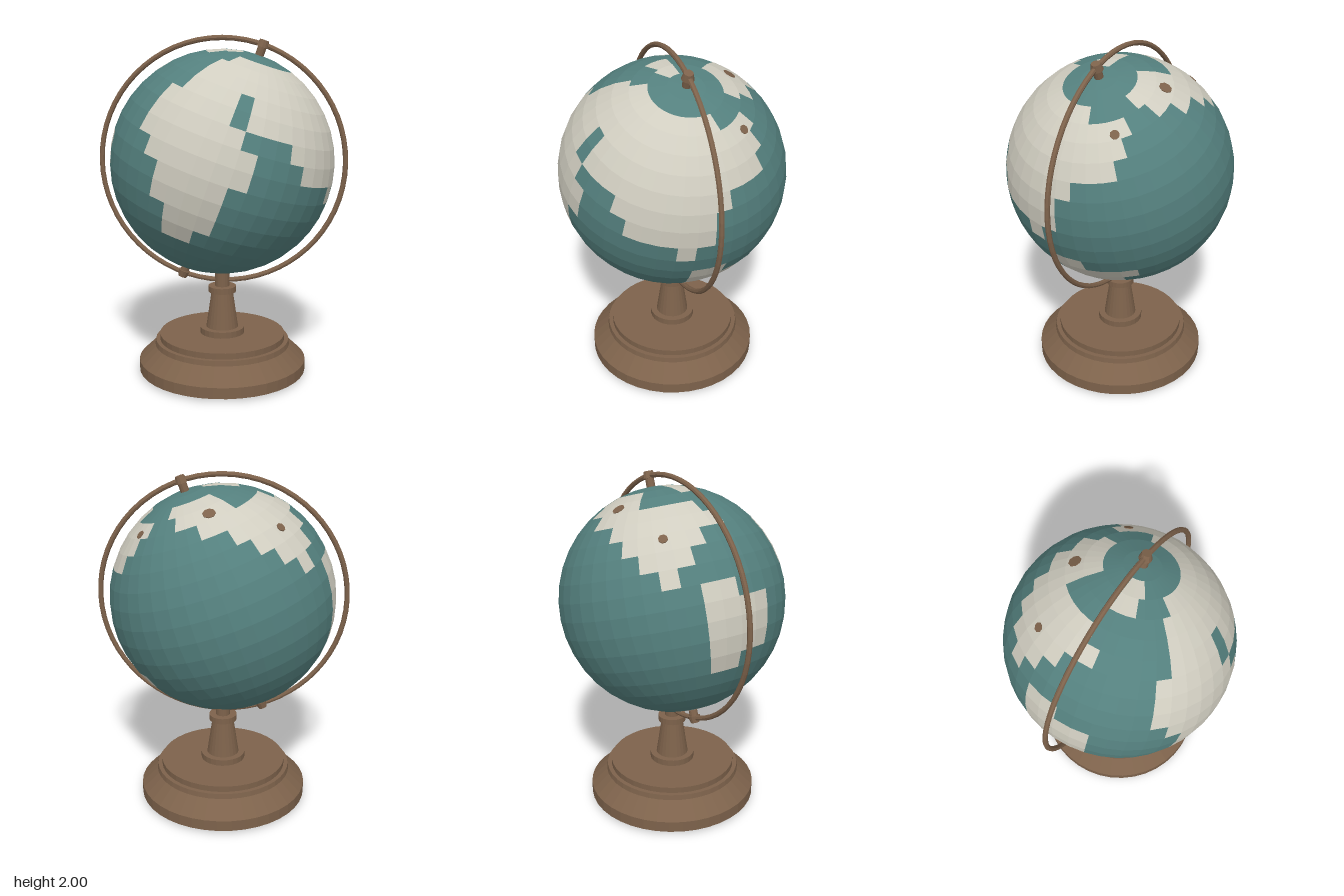
import * as THREE from 'three';

const mat = (name, color) => {
  const m = new THREE.MeshStandardMaterial({ color, flatShading: true });
  m.name = name;
  return m;
};

// Land runs per 9-degree latitude row (0 = north): [first column, last column], column 0 starts at +z
const LAND = {
  1: [[30, 33]],
  2: [[-3, 11], [18, 24], [30, 32]],
  3: [[-4, 15], [19, 24]],
  4: [[-4, 14], [21, 29]],
  5: [[-4, -1], [1, 13], [23, 30]],
  6: [[-5, -1], [1, 10], [24, 28]],
  7: [[-5, 0], [4, 9], [25, 27]],
  8: [[-5, 1], [5, 9], [26, 26]],
  9: [[-4, 1], [8, 8], [28, 29]],
  10: [[-3, 0], [28, 31]],
  11: [[-3, 0], [9, 10], [28, 31]],
  12: [[-2, 0], [9, 13], [28, 31]],
  13: [[-2, -1], [9, 12], [28, 29]],
  18: [[0, 39]],
  19: [[0, 39]],
};
const COLS = 40, ROWS = 20, R = 0.65, CENTRE_Y = 1.273;
const TILT = THREE.MathUtils.degToRad(19);

function isLand(row, col) {
  return (LAND[row] || []).some(([a, b]) =>
    (col >= a && col <= b) || (col - COLS >= a && col - COLS <= b));
}

// Point on the globe at a grid corner
function corner(row, col) {
  const t = (row / ROWS) * Math.PI, p = (col / COLS) * Math.PI * 2;
  return [R * Math.sin(t) * Math.sin(p), R * Math.cos(t), R * Math.sin(t) * Math.cos(p)];
}

// All cells of the globe that are land, or all that are sea
function globeCells(land) {
  const pos = [];
  for (let r = 0; r < ROWS; r++) {
    for (let c = 0; c < COLS; c++) {
      if (isLand(r, c) !== land) continue;
      const tl = corner(r, c), bl = corner(r + 1, c);
      const br = corner(r + 1, c + 1), tr = corner(r, c + 1);
      if (r < ROWS - 1) pos.push(...tl, ...bl, ...br);
      if (r > 0) pos.push(...tl, ...br, ...tr);
    }
  }
  const g = new THREE.BufferGeometry();
  g.setAttribute('position', new THREE.Float32BufferAttribute(pos, 3));
  g.computeVertexNormals();
  return g;
}

export function createModel() {
  const model = new THREE.Group();
  model.name = 'deskGlobe';
  const sea = mat('sea teal', 0x54807e);
  const landMat = mat('land cream', 0xd0cdc0);
  const wood = mat('wood brown', 0x7d624b);

  const add = (parent, name, geo, material, x = 0, y = 0, z = 0) => {
    const m = new THREE.Mesh(geo, material);
    m.name = name;
    m.position.set(x, y, z);
    parent.add(m);
    return m;
  };

  // Tilted globe with its pivots
  const globe = new THREE.Group();
  globe.name = 'globe';
  globe.position.y = CENTRE_Y;
  globe.rotation.z = -TILT;
  model.add(globe);
  add(globe, 'oceans', globeCells(false), sea);
  add(globe, 'continents', globeCells(true), landMat);
  for (const s of [1, -1]) {
    const end = s > 0 ? 'top' : 'bottom';
    add(globe, end + 'PivotPin', new THREE.CylinderGeometry(0.025, 0.025, 0.1, 12), wood, 0, s * 0.685, 0);
    add(globe, end + 'PivotKnob', new THREE.CylinderGeometry(
      s > 0 ? 0.026 : 0.036, s > 0 ? 0.036 : 0.026, 0.04, 12), wood, 0, s * 0.718, 0);
  }

  // Small brown marks set flush in the globe
  const marks = [[0.054, 0.567, -0.313], [-0.323, 0.49, -0.278], [0.432, 0.425, -0.235]];
  marks.forEach(([x, y, z], i) => {
    const n = new THREE.Vector3(x, y, z).normalize();
    const m = add(model, 'surfaceMark', new THREE.CylinderGeometry(1, 1, 0.006, 8), wood);
    const r = i === 0 ? 0.036 : 0.026;
    m.scale.set(r, 1, r);
    m.position.copy(n).multiplyScalar(0.648).add(new THREE.Vector3(0, CENTRE_Y, 0));
    m.quaternion.setFromUnitVectors(new THREE.Vector3(0, 1, 0), n);
  });

  // Full ring that carries the globe
  add(model, 'meridianRing', new THREE.TorusGeometry(0.712, 0.015, 8, 64), wood, 0, CENTRE_Y, 0);

  // Turned base and column
  const lathe = (name, points, sides) => add(model, name,
    new THREE.LatheGeometry(points.map(([x, y]) => new THREE.Vector2(x, y)), sides), wood);
  lathe('base', [[0, 0.015], [0.5, 0.015], [0.5, 0.08], [0.405, 0.17], [0.4, 0.2],
    [0.375, 0.2], [0.375, 0.235], [0, 0.235]], 40);
  lathe('column', [[0, 0.23], [0.133, 0.235], [0.133, 0.272], [0.096, 0.272], [0.064, 0.49],
    [0.083, 0.49], [0.083, 0.525], [0.043, 0.525], [0.043, 0.63], [0, 0.63]], 24);

  // Three feet
  for (let i = 0; i < 3; i++) {
    const a = Math.PI + (i * Math.PI * 2) / 3;
    add(model, 'foot', new THREE.CylinderGeometry(0.048, 0.048, 0.02, 16), wood,
      Math.sin(a) * 0.335, 0.01, Math.cos(a) * 0.335);
  }
  return model;
}
